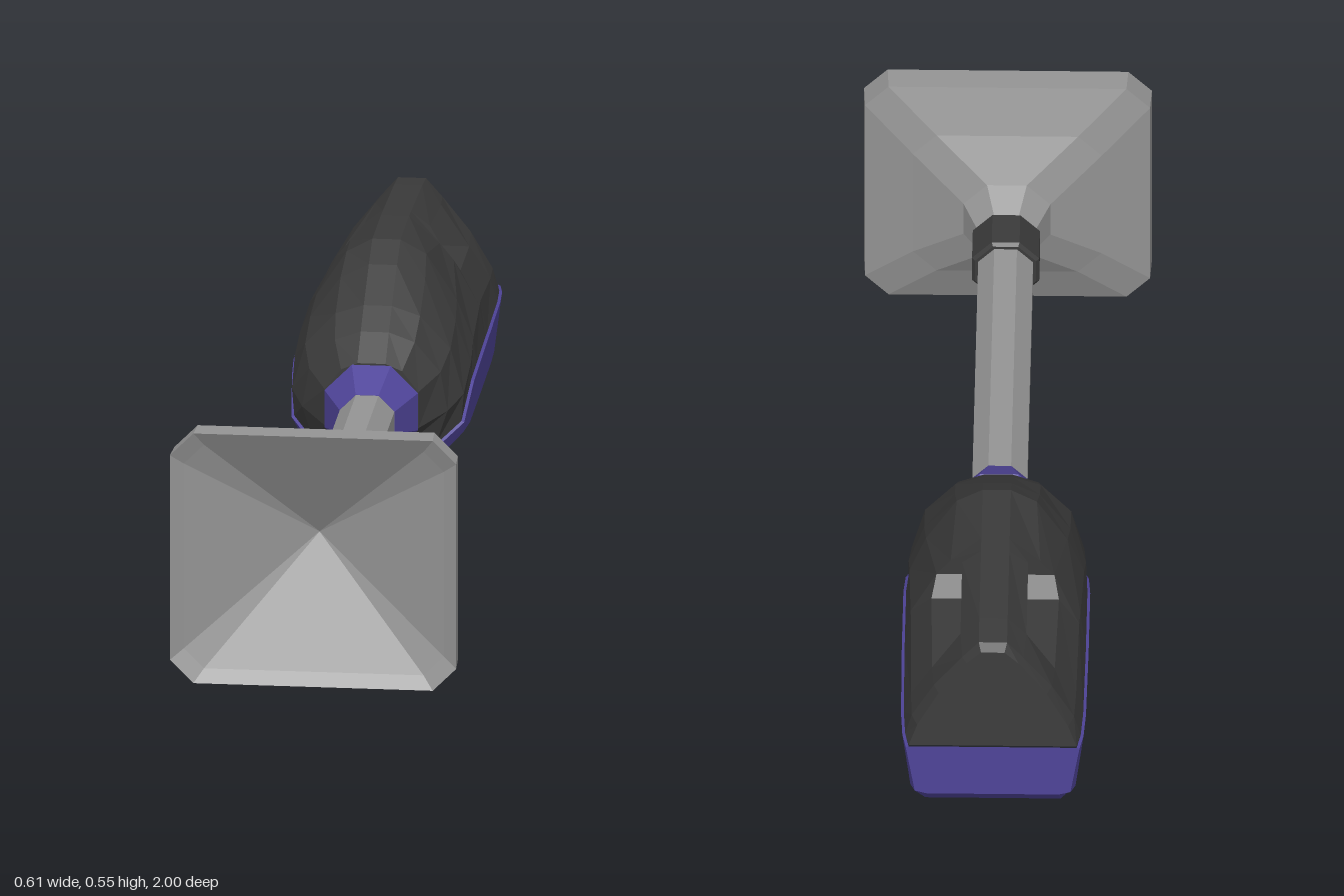
import * as THREE from 'three';

const mat = (name, color, flat = true) => {
  const m = new THREE.MeshStandardMaterial({ color, flatShading: flat });
  m.name = name;
  return m;
};

// Flat-faced geometry from a list of triangle corner points
function fromTriangles(tris) {
  const g = new THREE.BufferGeometry();
  g.setAttribute('position', new THREE.Float32BufferAttribute(tris.flat(2), 3));
  g.computeVertexNormals();
  return g;
}
const quad = (a, b, c, d) => [[a, b, c], [a, c, d]];

// Skin over rings of [x, y, z] points, counter-clockwise seen from the front
function loftTriangles(rings, { closed = true, caps = false, skip = () => false } = {}) {
  const tris = [];
  const n = rings[0].length;
  for (let s = 0; s < rings.length - 1; s++) {
    for (let i = 0; i < (closed ? n : n - 1); i++) {
      if (skip(s, i)) continue;
      const j = (i + 1) % n;
      tris.push(...quad(rings[s][i], rings[s + 1][i], rings[s + 1][j], rings[s][j]));
    }
  }
  if (caps) {
    const a = rings[0], b = rings[rings.length - 1];
    for (let i = 1; i < n - 1; i++) tris.push([a[0], a[i], a[i + 1]], [b[0], b[i + 1], b[i]]);
  }
  return tris;
}

// Rectangle with cut corners
function octagon(hx, hy, cut, z, cy) {
  return [[hx, -hy + cut], [hx, hy - cut], [hx - cut, hy], [-hx + cut, hy],
    [-hx, hy - cut], [-hx, -hy + cut], [-hx + cut, -hy], [hx - cut, -hy]]
    .map(([x, y]) => [x, y + cy, z]);
}

export function createModel() {
  const group = new THREE.Group();
  const grey = mat('grey plastic', 0x949494);
  const black = mat('charcoal plastic', 0x3a3a3a);
  const purple = mat('purple plastic', 0x4f4499);
  const axisY = 0.258;

  const add = (name, geometry, material) => {
    const m = new THREE.Mesh(geometry, material);
    m.name = name;
    group.add(m);
    return m;
  };
  // Eight-sided barrel along z
  const barrel = (name, rFront, rBack, zFront, zBack, material) => {
    const g = new THREE.CylinderGeometry(rFront, rBack, zFront - zBack, 8);
    g.rotateY(Math.PI / 8).rotateX(Math.PI / 2);
    add(name, g, material).position.set(0, axisY, (zFront + zBack) / 2);
  };

  // Square suction horn: hollow pyramid, lip, rim and outer shell
  add('suctionHorn', fromTriangles(loftTriangles([
    octagon(0.001, 0.001, 0.0003, 0.87, 0.305),
    octagon(0.277, 0.248, 0.043, 0.985, 0.277),
    octagon(0.305, 0.277, 0.05, 1, 0.277),
    octagon(0.302, 0.277, 0.05, 0.94, 0.277),
    octagon(0.2, 0.18, 0.05, 0.905, 0.272),
    octagon(0.092, 0.09, 0.05, 0.86, 0.265),
    octagon(0.058, 0.058, 0.034, 0.79, axisY),
  ])), grey);

  // Tube and its fittings
  barrel('tube', 0.063, 0.063, 0.8, -0.08, grey);
  barrel('tubeCollar', 0.077, 0.077, 0.79, 0.695, black);
  barrel('collarFrontBevel', 0.07, 0.077, 0.797, 0.79, black);
  barrel('collarBackBevel', 0.077, 0.07, 0.695, 0.688, black);
  barrel('neckCone', 0.064, 0.108, -0.068, -0.15, purple);
  barrel('neckRim', 0.108, 0.1, -0.15, -0.162, purple);

  // Housing half-sections: z, then seam, side, hole bottom, hole top, spine as x, y
  const housing = [
    [-0.155, [0.05, 0.16], [0.1, 0.22], [0.1, 0.3], [0.065, 0.345], [0.03, 0.36]],
    [-0.22, [0.13, 0.165], [0.155, 0.24], [0.14, 0.325], [0.085, 0.39], [0.03, 0.41]],
    [-0.28, [0.178, 0.2], [0.183, 0.26], [0.155, 0.36], [0.09, 0.43], [0.03, 0.45]],
    [-0.38, [0.188, 0.26], [0.188, 0.3], [0.155, 0.39], [0.09, 0.48], [0.03, 0.51]],
    [-0.45, [0.192, 0.275], [0.185, 0.33], [0.15, 0.415], [0.085, 0.515], [0.03, 0.545]],
    [-0.62, [0.192, 0.28], [0.18, 0.35], [0.125, 0.45], [0.095, 0.487], [0.03, 0.545]],
    [-0.66, [0.192, 0.28], [0.178, 0.35], [0.135, 0.415], [0.07, 0.512], [0.03, 0.543]],
    [-0.88, [0.19, 0.28], [0.175, 0.33], [0.13, 0.4], [0.07, 0.49], [0.03, 0.532]],
    [-0.955, [0.186, 0.28], [0.172, 0.33], [0.125, 0.41], [0.065, 0.485], [0.03, 0.525]],
    [-0.995, [0.178, 0.28], [0.16, 0.33], [0.115, 0.41], [0.055, 0.485], [0.025, 0.512]],
  ];
  const flip = ([x, y, z]) => [-x, y, z];
  const last = housing.length - 1;
  const halves = housing.map(([z, ...pts], s) =>
    pts.map(([x, y]) => [x, y, s === last ? z + (y - 0.28) * 0.09 : z]));
  const rings = halves.map(h => [...h, ...h.map(flip).reverse()]);

  // Upper housing, leaving the grip opening free on both sides
  const isHole = (s, i) => (s === 5 || s === 6) && (i === 2 || i === 6);
  const upper = loftTriangles(rings, { closed: false, caps: true, skip: isHole });
  // Walls of the grip opening
  const edge = [...[5, 6, 7].map(s => halves[s][2]), ...[7, 6, 5].map(s => halves[s][3])];
  edge.forEach((a, i) => {
    const b = edge[(i + 1) % edge.length];
    upper.push(...quad(a, b, flip(b), flip(a)));
  });
  add('upperHousing', fromTriangles(upper), black);

  // Lower tray: lip under the seam, side edge and bottom edge for each section
  const tray = [
    [0.045, 0.155, 0.035, 0.15], [0.11, 0.145, 0.08, 0.118], [0.155, 0.145, 0.12, 0.113],
    [0.172, 0.145, 0.14, 0.11], [0.178, 0.145, 0.145, 0.11], [0.178, 0.145, 0.145, 0.11],
    [0.178, 0.145, 0.145, 0.11], [0.177, 0.145, 0.145, 0.11], [0.175, 0.145, 0.143, 0.11],
    [0.165, 0.162, 0.14, 0.155],
  ];
  const trayRings = tray.map(([ex, ey, bx, by], s) => {
    const [x, y] = halves[s][0];
    const z = s === last ? -1 : housing[s][0];
    const grow = s === 0 ? 0 : 0.006;
    const half = [[x, y, z], [x + grow, y - grow / 2, z], [ex, ey, z], [bx, by, z]];
    return [...half.map(flip), ...half.slice().reverse()];
  });
  add('lowerTray', fromTriangles(loftTriangles(trayRings, { closed: false, caps: true })), purple);

  return group;
}
